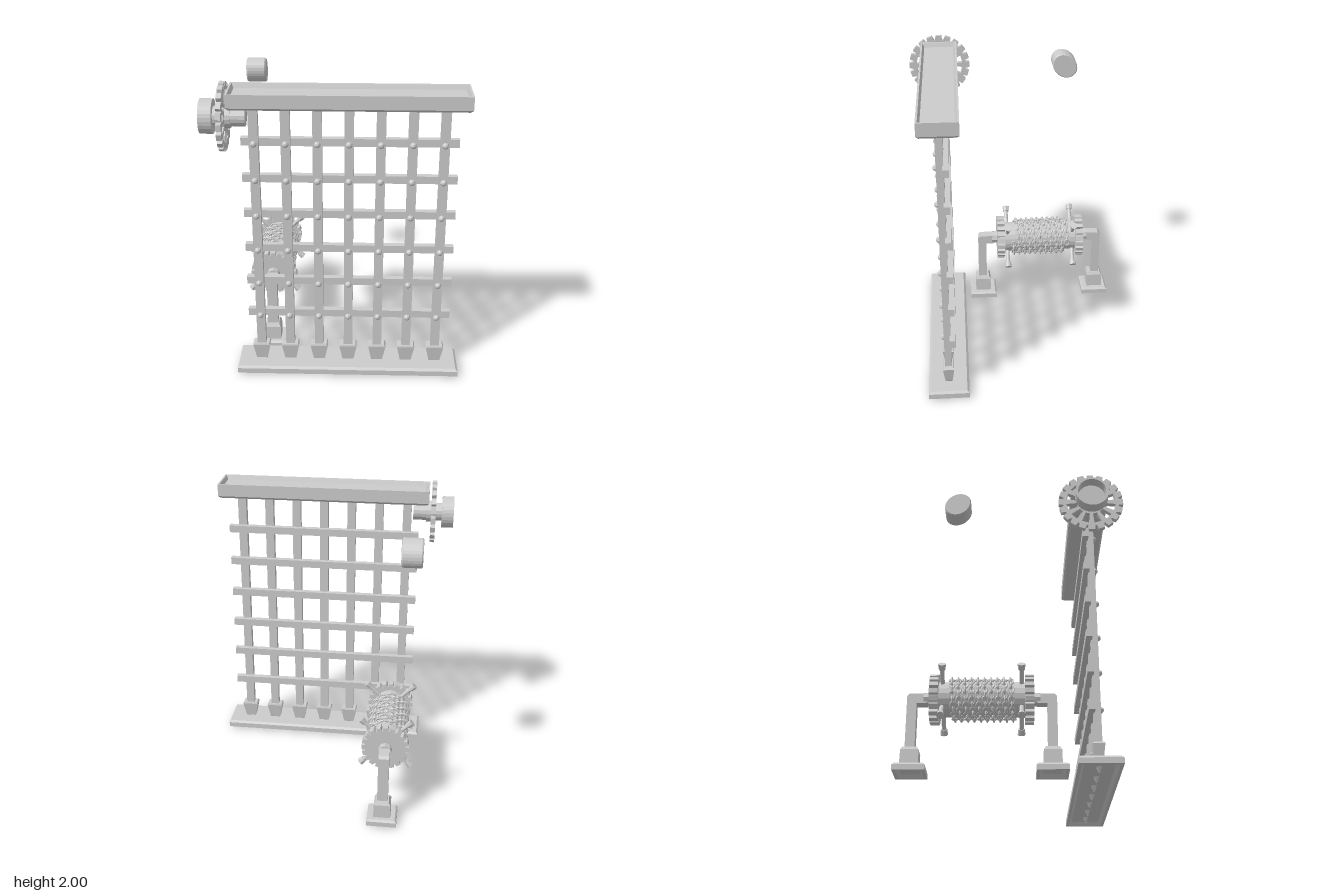
import * as THREE from 'three';
import { mergeGeometries } from 'three/addons/utils/BufferGeometryUtils.js';

const mat = new THREE.MeshStandardMaterial({ color: 0xcccccc, flatShading: true, side: THREE.DoubleSide });

function add(parent, name, geo, x = 0, y = 0, z = 0) {
  const m = new THREE.Mesh(geo, mat);
  m.name = name;
  m.position.set(x, y, z);
  parent.add(m);
  return m;
}

// Capped loft through rectangles [halfWidth, halfDepth, y]
function rectLoft(sections) {
  const pos = [], idx = [];
  for (const [w, d, y] of sections) pos.push(w, y, d, w, y, -d, -w, y, -d, -w, y, d);
  for (let s = 0; s < sections.length - 1; s++) {
    for (let i = 0; i < 4; i++) {
      const a = s * 4 + i, b = s * 4 + (i + 1) % 4;
      idx.push(a, b, b + 4, a, b + 4, a + 4);
    }
  }
  const t = (sections.length - 1) * 4;
  idx.push(0, 2, 1, 0, 3, 2, t, t + 1, t + 2, t, t + 2, t + 3);
  const g = new THREE.BufferGeometry();
  g.setAttribute('position', new THREE.Float32BufferAttribute(pos, 3));
  g.setIndex(idx);
  const flat = g.toNonIndexed();
  flat.computeVertexNormals();
  return flat;
}

// Plate with a bevelled top and a recessed underside
function plate(w, d, h, bevel, rim, recess) {
  const W = w / 2, D = d / 2;
  return rectLoft([
    [W - rim * 2, D - rim * 2, recess], [W - rim, D - rim, 0], [W, D, 0],
    [W, D, h - bevel], [W - bevel, D - bevel, h],
  ]);
}

// Toothed disc along z, centred, with optional ring of windows
function gear(rOut, rRoot, teeth, depth, windows = 0, r0 = 0, r1 = 0) {
  const pts = [], step = Math.PI * 2 / teeth;
  const polar = (r, a) => new THREE.Vector2(r * Math.cos(a), r * Math.sin(a));
  for (let i = 0; i < teeth; i++) {
    for (const [r, f] of [[rRoot, -0.42], [rOut, -0.3], [rOut, 0.3], [rRoot, 0.42]]) {
      pts.push(polar(r, (i + f) * step));
    }
  }
  const shape = new THREE.Shape(pts);
  for (let i = 0; i < windows; i++) {
    const a = (i + 0.5) * Math.PI * 2 / windows;
    const h = Math.PI / windows * 0.58;
    shape.holes.push(new THREE.Path([polar(r0, a - h), polar(r0, a + h), polar(r1, a + h), polar(r1, a - h)]));
  }
  return new THREE.ExtrudeGeometry(shape, { depth, bevelEnabled: false }).translate(0, 0, -depth / 2);
}

function cyl(r, len, sides, axis, r2 = r) {
  const g = new THREE.CylinderGeometry(r, r2, len, sides);
  if (axis === 'x') g.rotateZ(Math.PI / 2);
  if (axis === 'z') g.rotateX(Math.PI / 2);
  return g;
}

function buildGate() {
  const g = new THREE.Group();
  g.name = 'gate';
  const cx = 0.083, z = 0.505;
  add(g, 'sill', plate(1.47, 0.268, 0.05, 0.014, 0.02, 0.025), cx, 0.012, z);
  const beam = add(g, 'topBeam', plate(1.455, 0.248, 0.1, 0.016, 0.012, 0.03), cx, 1.965, z);
  beam.rotation.x = Math.PI;

  const rows = [0.4, 0.645, 0.888, 1.132, 1.376, 1.62];
  for (const y of rows) add(g, 'crossBar', new THREE.BoxGeometry(1.339, 0.05, 0.04), 0.0875, y, 0.47);
  for (let i = 0; i < 7; i++) {
    const x = -0.498 + i * 0.194;
    add(g, 'upright', new THREE.BoxGeometry(0.058, 1.72, 0.045), x, 1.03, z);
    add(g, 'spike', rectLoft([
      [0.004, 0.003, 0], [0.037, 0.024, 0.065], [0.058, 0.037, 0.17], [0.05, 0.034, 0.18],
    ]), x, 0, z);
    for (const y of rows) {
      const rivet = new THREE.SphereGeometry(0.022, 8, 3, 0, Math.PI * 2, 0, Math.PI / 2).rotateX(Math.PI / 2);
      add(g, 'rivet', rivet, x, y, z + 0.021);
    }
  }
  return g;
}

// Gear wheel, axle and open cup at the head of the gate
function buildTopWheel() {
  const g = new THREE.Group();
  g.name = 'topWheel';
  g.position.set(0, 1.79, 0.505);
  add(g, 'wheel', gear(0.212, 0.183, 20, 0.032, 12, 0.092, 0.162).rotateY(Math.PI / 2), -0.677);
  add(g, 'axle', cyl(0.06, 0.2, 16, 'x'), -0.64);
  add(g, 'hub', cyl(0.07, 0.035, 16, 'x'), -0.645);
  const profile = [[0, 0.015], [0.088, 0.015], [0.092, 0.08], [0.107, 0.08], [0.107, 0], [0, 0]]
    .map(([r, y]) => new THREE.Vector2(r, y));
  add(g, 'cup', new THREE.LatheGeometry(profile, 28).rotateZ(Math.PI / 2), -0.735);
  return g;
}

// Chain of alternating flat and upright links wound on the drum
function chainGeometry(radius, length, turns, perTurn) {
  const link = new THREE.TorusGeometry(0.0165, 0.0055, 5, 10).scale(1.4, 1, 1);
  const parts = [], n = turns * perTurn;
  for (let i = 0; i <= n; i++) {
    const a = i / perTurn * Math.PI * 2;
    const c = Math.cos(a), s = Math.sin(a);
    const out = new THREE.Vector3(c, s, 0);
    const along = new THREE.Vector3(-s, c, length / turns / (Math.PI * 2 * radius)).normalize();
    const side = new THREE.Vector3().crossVectors(out, along);
    const m = i % 2
      ? new THREE.Matrix4().makeBasis(along, out, side.clone().negate())
      : new THREE.Matrix4().makeBasis(along, side, out);
    m.setPosition(radius * c, radius * s, (i / n - 0.5) * length);
    parts.push(link.clone().applyMatrix4(m));
  }
  return mergeGeometries(parts);
}

function buildWindlass() {
  const g = new THREE.Group();
  g.name = 'windlass';
  g.position.set(-0.447, 0, -0.197);
  const axisY = 0.49;

  add(g, 'drum', cyl(0.11, 0.56, 20, 'z'), 0, axisY);
  add(g, 'chain', chainGeometry(0.122, 0.4, 10, 23), 0, axisY);
  for (const s of [-1, 1]) {
    add(g, 'drumGear', gear(0.157, 0.135, 20, 0.055), 0, axisY, s * 0.292);
    add(g, 'bearing', cyl(0.045, 0.05, 8, 'z'), 0, axisY, s * 0.335);

    // Four radial handles with knobs
    for (let i = 0; i < 4; i++) {
      const handle = new THREE.Group();
      handle.name = 'handle';
      handle.position.set(0, axisY, s * 0.243);
      handle.rotation.z = Math.PI / 4 + i * Math.PI / 2;
      add(handle, 'handleRod', cyl(0.014, 0.12, 8), 0, 0.15);
      add(handle, 'handleKnob', cyl(0.025, 0.038, 8, 'y', 0.02), 0, 0.218);
      g.add(handle);
    }

    // Angled post carrying the bearing, on a stepped foot
    const shape = new THREE.Shape([
      [0.402, 0.15], [0.462, 0.15], [0.462, 0.5], [0.447, 0.518], [0.34, 0.518], [0.34, 0.455], [0.402, 0.455],
    ].map(([u, v]) => new THREE.Vector2(u, v)));
    const post = add(g, 'post', new THREE.ExtrudeGeometry(shape, { depth: 0.07, bevelEnabled: false }).translate(0, 0, -0.035));
    post.rotation.y = -s * Math.PI / 2;
    add(g, 'pedestal', rectLoft([
      [0.057, 0.057, 0.045], [0.055, 0.055, 0.15], [0.043, 0.043, 0.172],
    ]), 0, 0, s * 0.43);
    add(g, 'foot', plate(0.198, 0.195, 0.045, 0.012, 0.02, 0.02), 0, 0.01, s * 0.428);
  }
  return g;
}

// Free-hanging oval roller behind the gate
function buildRoller() {
  const profile = [[0, -0.065], [0.088, -0.065], [0.095, -0.057], [0.095, 0.057], [0.088, 0.065], [0, 0.065]]
    .map(([r, y]) => new THREE.Vector2(r, y));
  const geo = new THREE.LatheGeometry(profile, 28).rotateZ(Math.PI / 2);
  geo.scale(1, 0.82, 1).rotateX(-Math.PI / 4);
  const g = new THREE.Group();
  g.name = 'roller';
  add(g, 'rollerBody', geo, -0.567, 1.815, -0.372);
  return g;
}

export function createModel() {
  const model = new THREE.Group();
  model.name = 'portcullis';
  model.add(buildGate(), buildTopWheel(), buildWindlass(), buildRoller());
  return model;
}
